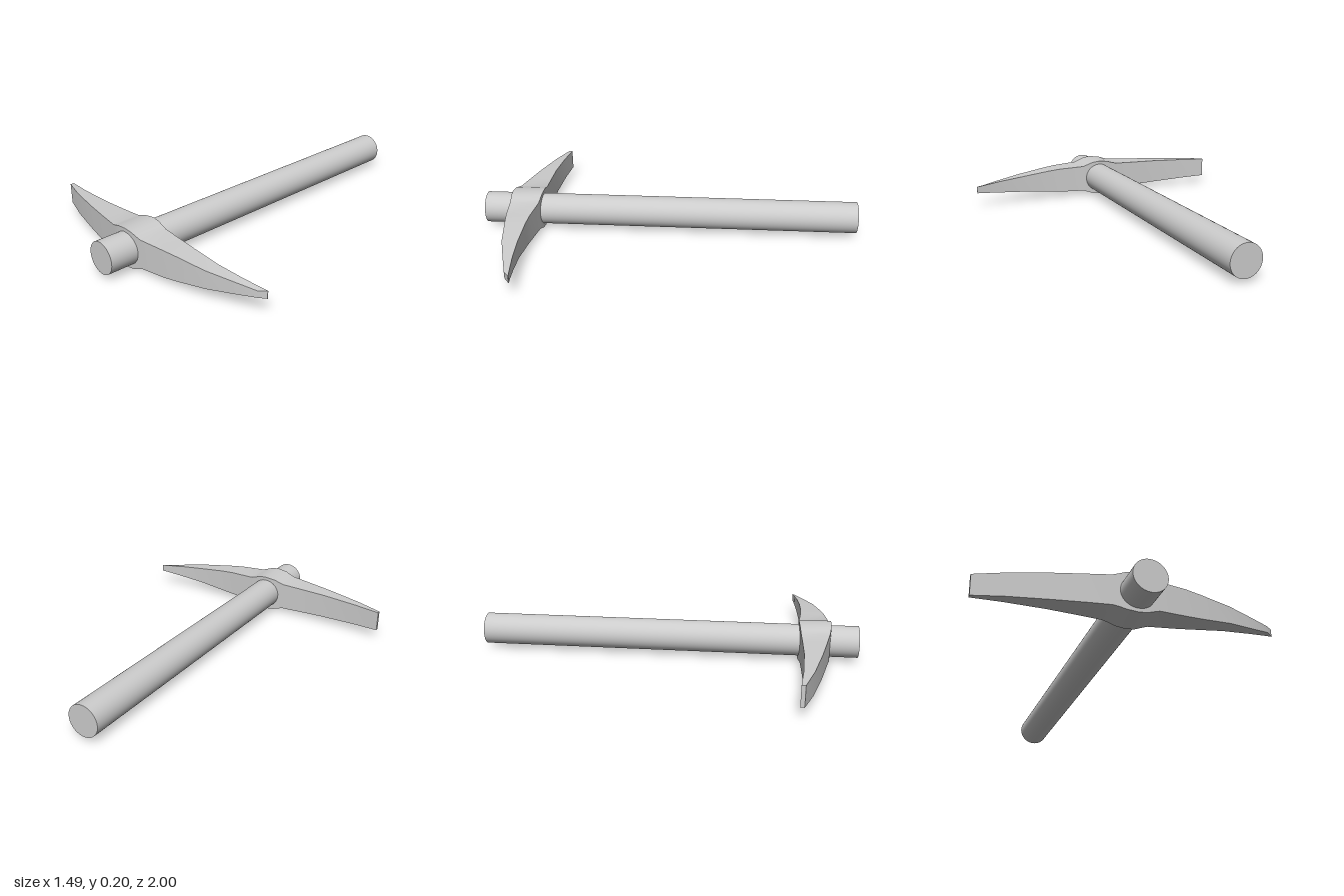
import * as THREE from 'three';
import { toCreasedNormals } from 'three/addons/utils/BufferGeometryUtils.js';

const CENTRE_Y = 0.105;

// Four-cornered cross-sections [x, half height, back z, front z], joined along x
function loft(sections) {
  const positions = [], index = [];
  for (const [x, h, back, front, hFront = h] of sections) {
    positions.push(x, -h, back, x, h, back, x, hFront, front, x, -hFront, front);
  }
  for (let i = 0; i < sections.length - 1; i++) {
    for (let j = 0; j < 4; j++) {
      const a = i * 4 + j, b = i * 4 + (j + 1) % 4;
      index.push(a, b, b + 4, a, b + 4, a + 4);
    }
  }
  const e = (sections.length - 1) * 4;
  index.push(0, 2, 1, 0, 3, 2, e, e + 1, e + 2, e, e + 2, e + 3);
  const geometry = new THREE.BufferGeometry();
  geometry.setAttribute('position', new THREE.Float32BufferAttribute(positions, 3));
  geometry.setIndex(index);
  return toCreasedNormals(geometry, 0.5);
}

export function createModel() {
  const group = new THREE.Group();
  group.name = 'pickaxe';
  const material = new THREE.MeshStandardMaterial({ color: 0xcccccc });

  // Straight round shaft running front to back
  const handle = new THREE.Mesh(new THREE.CylinderGeometry(0.083, 0.083, 2, 48), material);
  handle.name = 'handle';
  handle.rotation.x = Math.PI / 2;
  handle.position.set(-0.023, CENTRE_Y, 0);
  group.add(handle);

  // Curved head: flat chisel at -x, swollen eye round the shaft, point at +x
  const head = new THREE.Mesh(loft([
    [-0.745, 0.054, 0.67, 0.69],
    [-0.6, 0.06, 0.687, 0.738],
    [-0.4, 0.068, 0.699, 0.788],
    [-0.25, 0.073, 0.698, 0.82],
    [-0.14, 0.077, 0.696, 0.842],
    [-0.11, 0.085, 0.695, 0.848],
    [-0.08, 0.095, 0.693, 0.853],
    [-0.023, 0.102, 0.69, 0.857],
    [0.02, 0.097, 0.692, 0.856],
    [0.05, 0.086, 0.694, 0.853],
    [0.08, 0.076, 0.697, 0.85],
    [0.22, 0.071, 0.711, 0.835],
    [0.3, 0.064, 0.715, 0.822],
    [0.46, 0.046, 0.716, 0.795],
    [0.6, 0.033, 0.707, 0.753, 0.03],
    [0.705, 0.022, 0.695, 0.72, 0.017],
    [0.74, 0.019, 0.69, 0.693],
  ]), material);
  head.name = 'pickHead';
  head.position.y = CENTRE_Y;
  group.add(head);

  return group;
}
